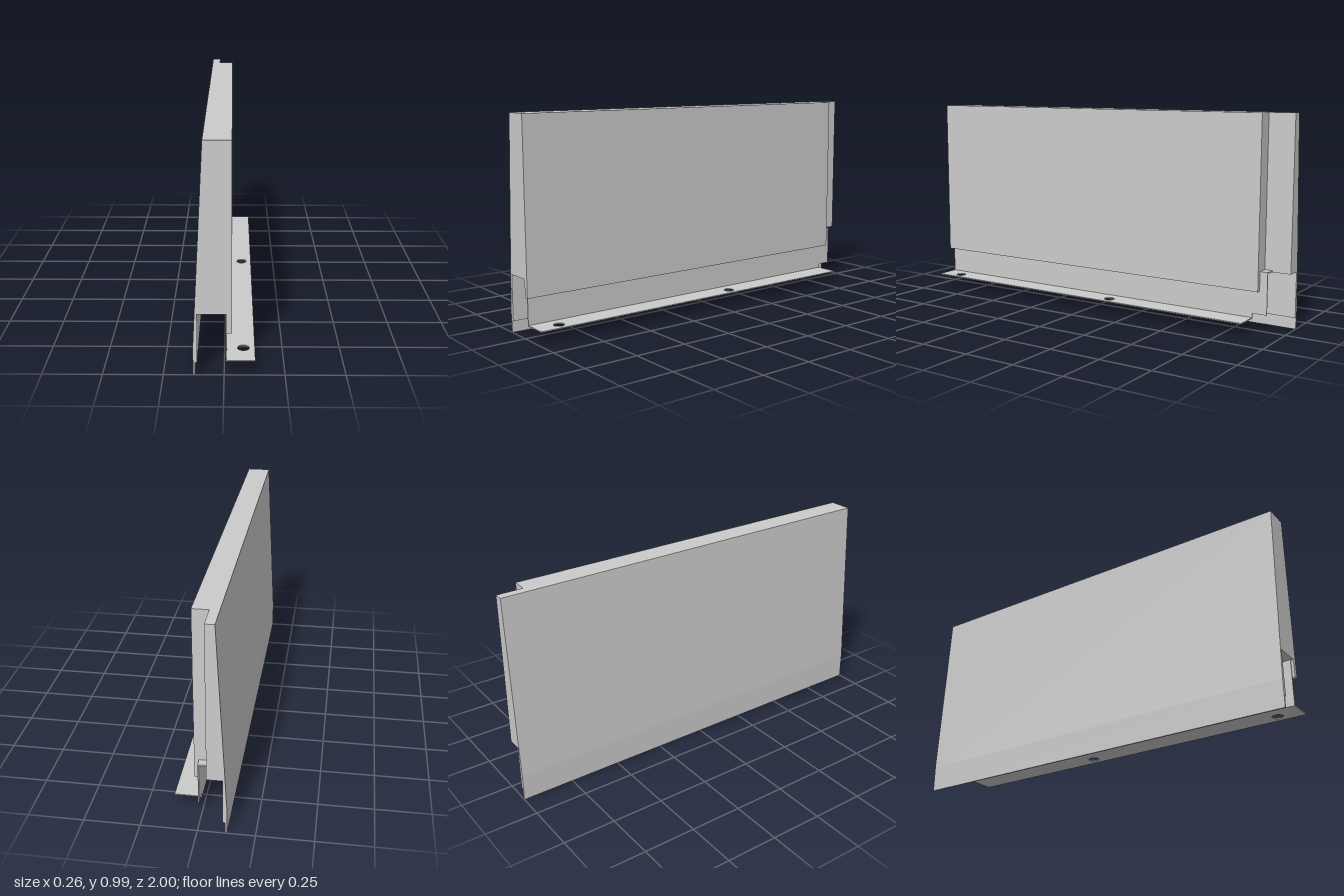
import * as THREE from 'three';

const material = new THREE.MeshStandardMaterial({ color: 0xcccccc, flatShading: true });

export function createModel() {
  const group = new THREE.Group();

  const add = (name, geometry) => {
    const mesh = new THREE.Mesh(geometry, material);
    mesh.name = name;
    group.add(mesh);
  };
  const toShape = (points) => new THREE.Shape(points.map(([x, y]) => new THREE.Vector2(x, y)));

  // Extrude an x-y cross-section between two z positions
  const addSection = (name, points, z0, z1) => {
    const geometry = new THREE.ExtrudeGeometry(toShape(points), { depth: z1 - z0, bevelEnabled: false });
    add(name, geometry.translate(0, 0, z0));
  };
  const addBox = (name, x0, x1, y0, y1, z0, z1) => {
    const geometry = new THREE.BoxGeometry(x1 - x0, y1 - y0, z1 - z0);
    add(name, geometry.translate((x0 + x1) / 2, (y0 + y1) / 2, (z0 + z1) / 2));
  };

  // Leaning outer face with its thin stepped skirt, shared by both body sections
  const outerSide = [
    [-0.11, 0.27], [-0.11, 0.055], [-0.12, 0.055], [-0.12, 0],
    [-0.128, 0], [-0.128, 0.13], [-0.084, 0.99],
  ];

  // Main panel with the lip that overlaps the bracket
  addSection('panelBody', [
    ...outerSide, [0.031, 0.99], [0.031, 0.187], [0.01, 0.187], [0.01, 0.27],
  ], -0.875, 1);

  // Narrower rebated end
  addSection('rebatedEnd', [...outerSide, [-0.042, 0.99], [-0.042, 0.27]], -1, -0.875);

  // Bracket: embedded top flange and stepped web
  addBox('bracketTopFlange', -0.08, 0.01, 0.271, 0.278, -0.912, 0.98);
  addBox('bracketUpperWeb', 0.005, 0.01, 0.08, 0.275, -0.912, 0.988);
  addBox('bracketLowerWeb', 0.005, 0.01, 0.055, 0.08, -0.842, 0.988);

  // Bottom flange with two round fixing holes, drawn in x and -z
  const flange = toShape([[0.01, -0.988], [0.128, -0.988], [0.128, 0.842], [0.01, 0.842]]);
  for (const z of [-0.11, 0.875]) {
    flange.holes.push(new THREE.Path().absarc(0.08, -z, 0.025, 0, Math.PI * 2, true));
  }
  const flangeGeometry = new THREE.ExtrudeGeometry(flange, { depth: 0.005, bevelEnabled: false, curveSegments: 32 });
  add('bracketBottomFlange', flangeGeometry.rotateX(-Math.PI / 2).translate(0, 0.055, 0));

  return group;
}
